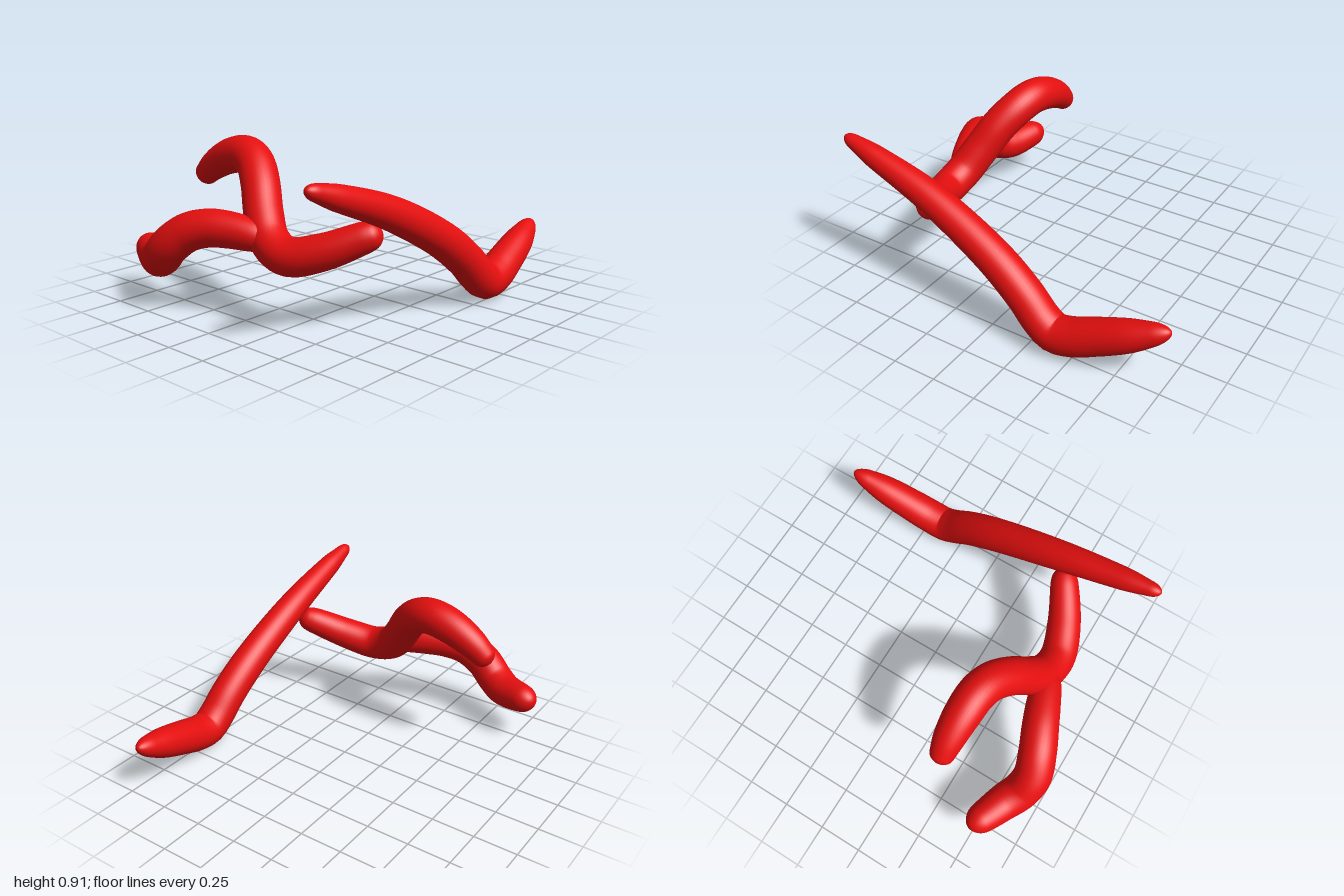
import * as THREE from 'three';

const SIDES = 32, RINGS = 90;

// Smooth tapered limb swept through [x, y, z, radius] stations, with rounded ends.
// ref is a direction never parallel to the path; it keeps the cross-sections untwisted.
function limb(name, stations, ref, capStart, capEnd, material) {
  const path = new THREE.CatmullRomCurve3(stations.map(s => new THREE.Vector3(s[0], s[1], s[2])));
  const radii = new THREE.SplineCurve(stations.map((s, i) => new THREE.Vector2(i, s[3])));
  const length = path.getLength();
  const round = d => Math.sqrt(Math.max(0, 1 - (1 - Math.min(1, d)) ** 2));

  const positions = [], index = [];
  for (let i = 0; i <= RINGS; i++) {
    const u = (1 - Math.cos(Math.PI * i / RINGS)) / 2; // rings crowd towards the ends
    const t = path.getUtoTmapping(u);
    const centre = path.getPoint(t), tangent = path.getTangent(t);
    const r = radii.getPoint(t).y * round(u * length / capStart) * round((1 - u) * length / capEnd);
    const n = ref.clone().addScaledVector(tangent, -ref.dot(tangent)).normalize();
    const b = tangent.clone().cross(n);
    for (let j = 0; j < SIDES; j++) {
      const a = 2 * Math.PI * j / SIDES;
      const p = centre.clone().addScaledVector(n, r * Math.cos(a)).addScaledVector(b, r * Math.sin(a));
      positions.push(p.x, p.y, p.z);
      if (i < RINGS) {
        const k = i * SIDES + j, m = i * SIDES + (j + 1) % SIDES;
        index.push(k, m, k + SIDES, m, m + SIDES, k + SIDES);
      }
    }
  }
  const geometry = new THREE.BufferGeometry();
  geometry.setAttribute('position', new THREE.Float32BufferAttribute(positions, 3));
  geometry.setIndex(index);
  geometry.computeVertexNormals();
  const mesh = new THREE.Mesh(geometry, material);
  mesh.name = name;
  return mesh;
}

export function createModel() {
  const group = new THREE.Group();
  group.name = 'bentLimbs';
  const red = new THREE.MeshStandardMaterial({ color: 0xe60f0f });
  red.name = 'red';
  const X = new THREE.Vector3(1, 0, 0), Z = new THREE.Vector3(0, 0, 1);

  // Long front bar with one elbow
  group.add(limb('frontBar', [
    [-1, 0.835, 0.68, 0.035], [-0.8, 0.77, 0.682, 0.064], [-0.4, 0.625, 0.685, 0.088],
    [0, 0.415, 0.705, 0.1], [0.2, 0.265, 0.722, 0.103], [0.3, 0.165, 0.732, 0.104],
    [0.38, 0.112, 0.735, 0.105], [0.48, 0.122, 0.73, 0.104], [0.6, 0.165, 0.715, 0.1],
    [0.8, 0.243, 0.688, 0.085], [1, 0.328, 0.655, 0.045],
  ], Z, 0.06, 0.09, red));

  // Upper wavy limb running backwards from the bar
  group.add(limb('upperLimb', [
    [-0.45, 0.54, 0.67, 0.06], [-0.5, 0.51, 0.6, 0.08], [-0.61, 0.425, 0.42, 0.095],
    [-0.675, 0.383, 0.24, 0.102], [-0.66, 0.435, 0.1, 0.105], [-0.605, 0.55, 0, 0.105],
    [-0.53, 0.69, -0.1, 0.105], [-0.47, 0.775, -0.2, 0.105], [-0.44, 0.808, -0.3, 0.104],
    [-0.43, 0.787, -0.43, 0.1], [-0.43, 0.72, -0.57, 0.085], [-0.44, 0.625, -0.685, 0.062],
  ], X, 0.05, 0.05, red));

  // Lower branch, growing out of the upper limb
  group.add(limb('lowerBranch', [
    [-0.66, 0.44, 0.12, 0.065], [-0.705, 0.46, 0.03, 0.085], [-0.755, 0.477, -0.1, 0.097],
    [-0.8, 0.477, -0.21, 0.102], [-0.85, 0.445, -0.32, 0.105], [-0.89, 0.36, -0.43, 0.107],
    [-0.875, 0.28, -0.52, 0.106], [-0.83, 0.25, -0.61, 0.102], [-0.775, 0.262, -0.74, 0.088],
    [-0.73, 0.285, -0.845, 0.07],
  ], X, 0.05, 0.08, red));

  return group;
}
